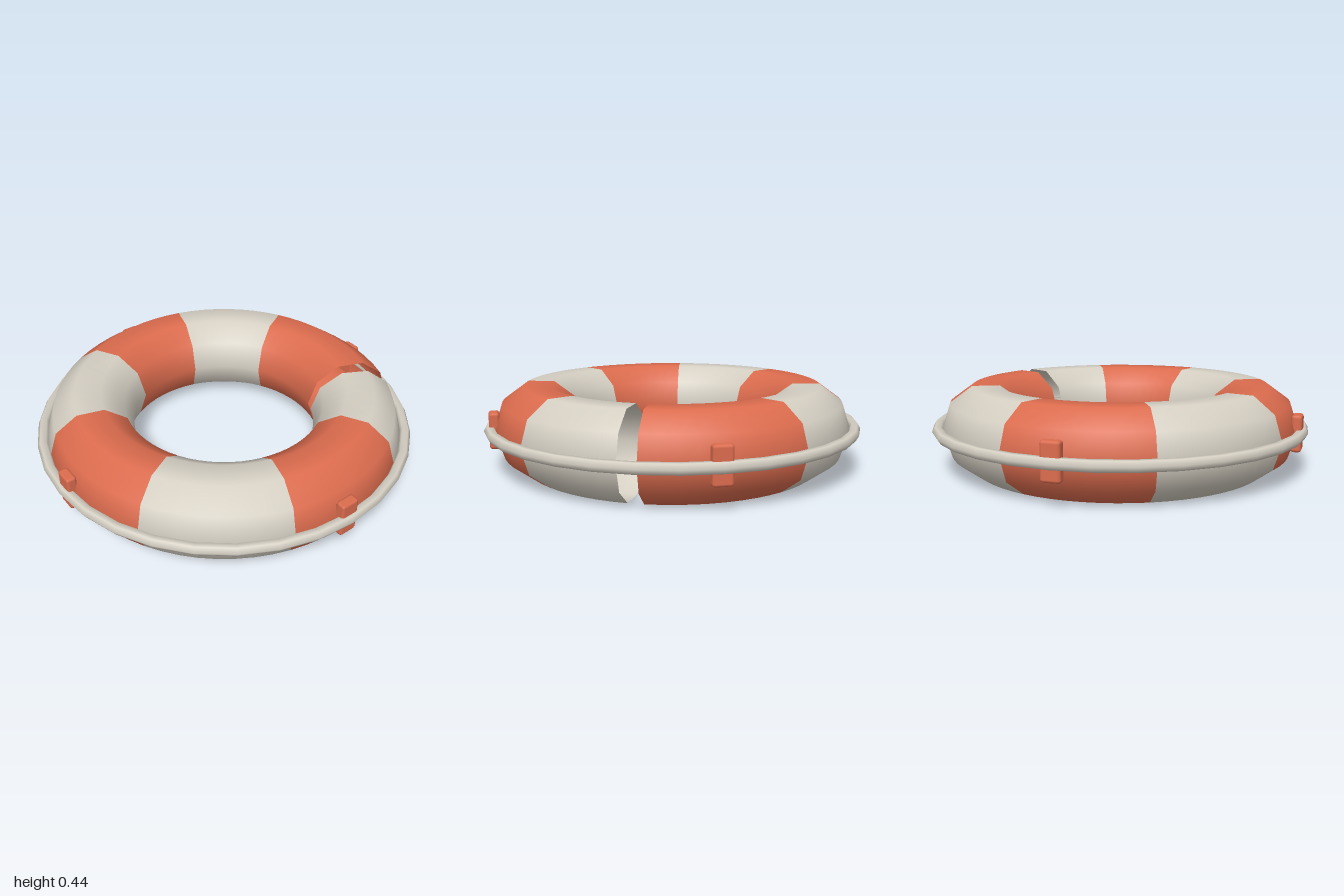
import * as THREE from 'three';
import { RoundedBoxGeometry } from 'three/addons/geometries/RoundedBoxGeometry.js';

export function createModel() {
  const group = new THREE.Group();
  const orange = new THREE.MeshStandardMaterial({ color: 0xdc6c4e, side: THREE.DoubleSide });
  orange.name = 'orange';
  const offWhite = new THREE.MeshStandardMaterial({ color: 0xd5cfc3, side: THREE.DoubleSide });
  offWhite.name = 'offWhite';

  const midY = 0.219;
  const step = Math.PI * 2 / 64;

  const add = (name, geometry, material, parent = group) => {
    const mesh = new THREE.Mesh(geometry, material);
    mesh.name = name;
    mesh.position.y = midY;
    parent.add(mesh);
    return mesh;
  };

  // Hollow float ring: alternating bands, with a narrow open gap at its left side
  const ring = new THREE.Group();
  ring.name = 'floatRing';
  group.add(ring);
  const bounds = [0, 9, 17, 25, 33, 41, 49, 57, 63];
  for (let i = 0; i < bounds.length - 1; i++) {
    const count = bounds[i + 1] - bounds[i];
    const band = new THREE.TorusGeometry(0.715, 0.23, 10, count, count * step);
    band.rotateX(-Math.PI / 2).rotateY(bounds[i] * step);
    add(i % 2 ? 'whiteBand' : 'orangeBand', band, i % 2 ? offWhite : orange, ring);
  }

  // Grab rope around the outside
  add('grabRope', new THREE.TorusGeometry(0.969, 0.03, 6, 32).rotateX(-Math.PI / 2), offWhite);

  // Four clips holding the rope
  for (let i = 0; i < 4; i++) {
    const a = Math.PI / 8 + i * Math.PI / 2;
    const clip = add('ropeClip', new RoundedBoxGeometry(0.055, 0.19, 0.1, 1, 0.015), orange);
    clip.position.set(0.944 * Math.cos(a), midY + 0.004, -0.944 * Math.sin(a));
    clip.rotation.y = a;
  }
  return group;
}
